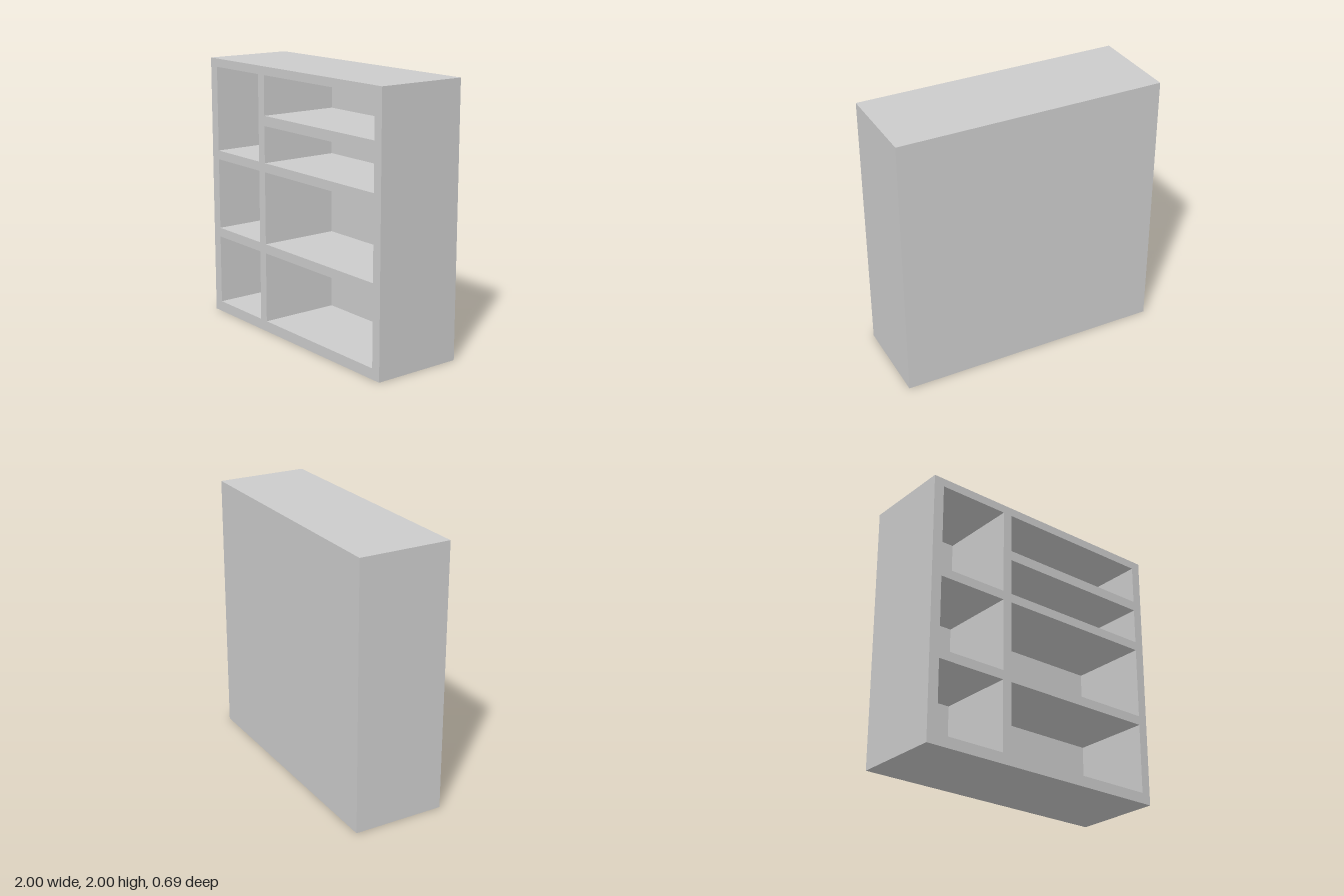
import * as THREE from 'three';

const HALF_W = 1, HEIGHT = 2, DEPTH = 0.69, BACK = 0.07;

// Compartments of each column: x range and [bottom, top] of every opening
const COLUMNS = [
  { x: [-0.92, -0.378], rows: [[0.08, 0.61], [0.68, 1.225], [1.293, 1.937]] },
  { x: [-0.305, 0.927], rows: [[0.08, 0.61], [0.68, 1.225], [1.293, 1.567], [1.642, 1.937]] },
];

// Trace a rectangle on a Shape or Path
function rect(path, x0, x1, y0, y1) {
  path.moveTo(x0, y0);
  path.lineTo(x1, y0);
  path.lineTo(x1, y1);
  path.lineTo(x0, y1);
  path.closePath();
  return path;
}

export function createModel() {
  const group = new THREE.Group();
  group.name = 'bookcase';
  const material = new THREE.MeshStandardMaterial({ color: 0xcccccc });

  // Sides, shelves and divider as one block pierced by the compartments
  const outline = rect(new THREE.Shape(), -HALF_W, HALF_W, 0, HEIGHT);
  for (const { x, rows } of COLUMNS) {
    for (const [y0, y1] of rows) outline.holes.push(rect(new THREE.Path(), x[0], x[1], y0, y1));
  }
  const frame = new THREE.Mesh(
    new THREE.ExtrudeGeometry(outline, { depth: DEPTH - BACK, bevelEnabled: false }),
    material,
  );
  frame.name = 'shelfFrame';
  frame.position.z = -DEPTH / 2 + BACK;
  group.add(frame);

  // Solid panel closing the rear
  const back = new THREE.Mesh(new THREE.BoxGeometry(2 * HALF_W, HEIGHT, BACK), material);
  back.name = 'backPanel';
  back.position.set(0, HEIGHT / 2, -DEPTH / 2 + BACK / 2);
  group.add(back);

  return group;
}
